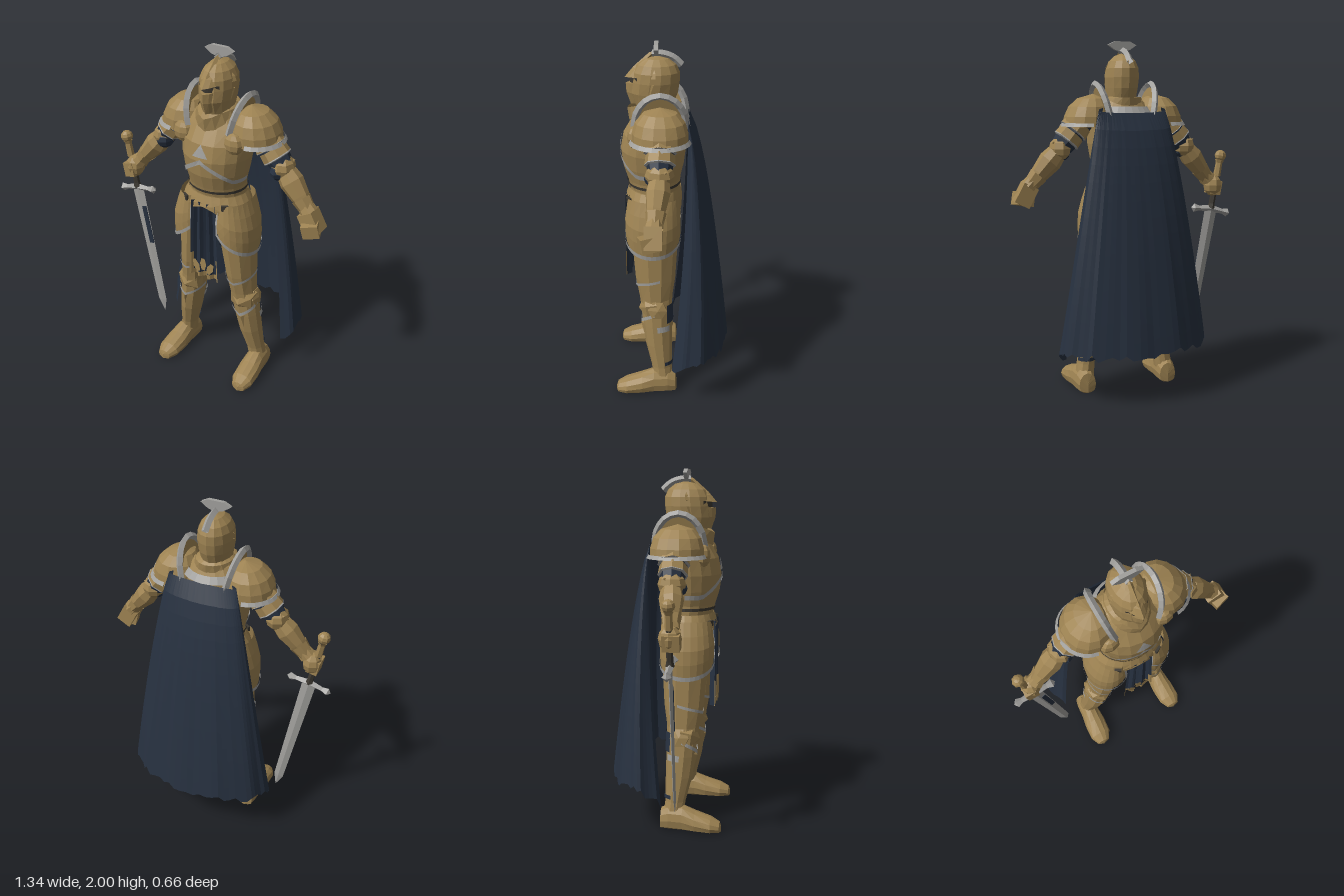
import * as THREE from 'three';

const mat = (name, color) => Object.assign(
  new THREE.MeshStandardMaterial({ color, flatShading: true, side: THREE.DoubleSide }), { name });
const gold = mat('gold plate', 0x9f8453), silver = mat('steel trim', 0xa09f9c);
const navy = mat('navy cloth', 0x273140), dark = mat('dark leather', 0x3c3831);
const V = (x, y, z) => new THREE.Vector3(x, y, z);
const rad = THREE.MathUtils.degToRad, TAU = Math.PI * 2;

export function createModel() {
  const model = new THREE.Group();
  model.name = 'armouredKnight';
  const group = (name, parent, x, y, z) => {
    const g = new THREE.Group();
    g.name = name;
    g.position.set(x, y, z);
    parent.add(g);
    return g;
  };
  const body = group('body', model, 0.035, 0, 0);
  const add = (name, geo, material, pos = [0, 0, 0], rot = [0, 0, 0], parent = body) => {
    const m = new THREE.Mesh(geo.index ? geo.toNonIndexed() : geo, material);
    m.geometry.computeVertexNormals();
    m.name = name;
    m.position.set(...pos);
    m.rotation.set(...rot);
    parent.add(m);
    return m;
  };
  // Surface from f(u, v): u runs to the right and v upwards, seen from outside
  const grid = (f, nu, nv) => {
    const pos = [], idx = [];
    for (let j = 0; j <= nv; j++) for (let i = 0; i <= nu; i++) pos.push(...f(i / nu, j / nv).toArray());
    for (let j = 0; j < nv; j++) for (let i = 0; i < nu; i++) {
      const a = j * (nu + 1) + i, d = a + nu + 1;
      idx.push(a, a + 1, d + 1, a, d + 1, d);
    }
    const g = new THREE.BufferGeometry();
    g.setAttribute('position', new THREE.Float32BufferAttribute(pos, 3));
    return g.setIndex(idx);
  };
  // Horizontal elliptical rings [y, cx, cz, rx, rz], listed upwards
  const onRing = ([y, cx, cz, rx, rz], a, o = 0) => V(cx + (rx + o) * Math.sin(a), y, cz + (rz + o) * Math.cos(a));
  const loft = (rings, n = 14) =>
    grid((u, v) => onRing(rings[Math.round(v * (rings.length - 1))], u * TAU), n, rings.length - 1);
  const at = (rings, a, y, o) => {
    let i = 0;
    while (i < rings.length - 2 && rings[i + 1][0] < y) i++;
    const t = (y - rings[i][0]) / (rings[i + 1][0] - rings[i][0]);
    return onRing(rings[i].map((k, n) => k + (rings[i + 1][n] - k) * t), a, o);
  };
  // Thin band lying on lofted rings, its height given by angle
  const band = (rings, a0, a1, yOf, w, o = 0.006, n = 20) => grid((u, v) => {
    const a = a0 + (a1 - a0) * u;
    return at(rings, a, yOf(a) + (v - 0.5) * w, o);
  }, n, 1);
  // Turned piece from a to b, profile of [radius, fraction of length]
  const limb = (name, material, a, b, profile, n = 8, parent = body) => {
    const dir = b.clone().sub(a), points = profile.map(([r, t]) => new THREE.Vector2(r, t * dir.length()));
    add(name, new THREE.LatheGeometry(points, n), material, a.toArray(), [0, 0, 0], parent)
      .quaternion.setFromUnitVectors(V(0, 1, 0), dir.normalize());
  };
  const ball = (name, material, p, r, parent = body) =>
    add(name, new THREE.SphereGeometry(1, 8, 6), material, p.toArray(), [0, 0, 0], parent).scale.set(...r);
  const box = (name, material, size, pos, rot, parent) => add(name, new THREE.BoxGeometry(...size), material, pos, rot, parent);

  // Torso, chest trim and skirt
  const torso = [[1.16, 0, 0.1, 0.175, 0.14], [1.21, 0, 0.1, 0.163, 0.138], [1.26, 0, 0.105, 0.162, 0.146],
    [1.34, 0, 0.108, 0.18, 0.168], [1.43, 0, 0.107, 0.196, 0.178], [1.52, 0, 0.1, 0.2, 0.168],
    [1.6, 0, 0.08, 0.185, 0.14], [1.67, 0, 0.08, 0.12, 0.105], [1.7, 0, 0.09, 0.07, 0.08]];
  add('breastplate', loft(torso, 18), gold);
  add('chestTrim', band(torso, -1.6, 1.6, a => 1.43 - 0.12 * Math.min(1, Math.abs(a)), 0.026), silver);
  add('waistTrim', band(torso, 0, TAU, () => 1.24, 0.016, 0.006, 24), dark);
  add('chestBadge', grid((u, v) => at(torso, (u - 0.5) * 0.46 * (1 - v), 1.455 + v * 0.07, 0.008), 4, 3), silver);
  const fauld = [[1.08, 0, 0.107, 0.212, 0.155], [1.15, 0, 0.107, 0.205, 0.158], [1.21, 0, 0.1, 0.17, 0.145]];
  add('fauld', grid((u, v) => {
    const a = u * TAU, lift = 0.07 * Math.max(0, Math.cos(a)) ** 8;
    return at(fauld, a, 1.08 + lift + v * (0.13 - lift), 0);
  }, 24, 3), gold);
  add('hips', loft([[0.86, 0, 0.1, 0, 0], [0.88, 0, 0.1, 0.13, 0.1], [1.0, 0, 0.1, 0.18, 0.125], [1.17, 0, 0.1, 0.17, 0.13]]), navy);
  // Gorget flaring to a pointed front
  add('gorget', grid((u, v) => {
    const a = u * TAU, tip = Math.max(0, Math.cos(a)) ** 6;
    return V((0.135 - 0.03 * v) * Math.sin(a), 1.62 + 0.07 * v - 0.035 * tip, 0.09 + (0.125 + 0.01 * v + 0.02 * tip) * Math.cos(a));
  }, 16, 1), gold);

  // Helmet
  add('helmet', loft([[1.67, 0, 0.1, 0.08, 0.1], [1.74, 0, 0.1, 0.09, 0.127], [1.8, 0, 0.092, 0.096, 0.128],
    [1.85, 0, 0.088, 0.091, 0.124], [1.89, 0, 0.086, 0.073, 0.104], [1.92, 0, 0.085, 0.04, 0.065], [1.935, 0, 0.08, 0, 0]]), gold);
  // Wedge plates bend around the face: rows of [y, half width, ridge z, side z]
  const wedge = rows => grid((u, v) => {
    const [y, hw, zf, zs, drop = 0] = rows[Math.round(v * (rows.length - 1))], k = Math.abs(2 * u - 1);
    return V(hw * (2 * u - 1), y + drop * k, zf + (zs - zf) * k ** 1.4);
  }, 8, rows.length - 1);
  add('visor', wedge([[1.675, 0.06, 0.225, 0.14, 0.02], [1.74, 0.09, 0.247, 0.12], [1.79, 0.1, 0.25, 0.1, 0.01], [1.79, 0.09, 0.2, 0.09, 0.01]]), gold);
  add('eyeSlit', wedge([[1.795, 0.06, 0.228, 0.186], [1.828, 0.06, 0.228, 0.186]]), dark);
  add('brow', wedge([[1.822, 0.09, 0.21, 0.1, 0.01], [1.82, 0.102, 0.255, 0.09, 0.014], [1.86, 0.092, 0.222, 0.09], [1.895, 0.06, 0.17, 0.1]]), gold);
  limb('browRidge', gold, V(0, 1.825, 0.24), V(0, 1.955, 0.1), [[0.006, 0], [0.016, 0.3], [0.013, 0.9], [0, 1]], 4);
  const ridge = new THREE.CatmullRomCurve3([V(0, 1.945, 0.11), V(0, 1.945, 0.06), V(0, 1.925, 0), V(0, 1.885, -0.045)]);
  add('crestRidge', new THREE.TubeGeometry(ridge, 8, 0.02, 4), silver);
  const wing = new THREE.Shape([[-0.085, 1.98], [-0.045, 1.953], [0, 1.94], [0.045, 1.953], [0.085, 1.98], [0.045, 2], [-0.045, 2]]
    .map(p => new THREE.Vector2(...p)));
  add('crestWings', new THREE.ExtrudeGeometry(wing, { depth: 0.022, bevelEnabled: false }), silver, [0, 0, 0.076]);

  for (const s of [-1, 1]) {
    const side = s < 0 ? 'right' : 'left', P = (x, y, z) => V(s * x, y, z);
    // Shoulder, with a flared rim and a leaning guard beside the neck
    const pauldron = [[1.53, s * 0.215, 0.065, 0.138, 0.146], [1.585, s * 0.21, 0.065, 0.134, 0.146], [1.64, s * 0.205, 0.065, 0.113, 0.13],
      [1.685, s * 0.195, 0.065, 0.073, 0.09], [1.71, s * 0.18, 0.065, 0, 0]];
    add(side + 'Pauldron', loft(pauldron), gold);
    add(side + 'PauldronRim', grid((u, v) => at(pauldron, s * rad(5 + 170 * u), 1.532 + 0.02 * v, 0.018 - 0.012 * v), 12, 1), silver);
    const arch = (t, r) => P(0.125 + 0.04 * r * Math.sin(t), 1.58 + 0.185 * r * Math.sin(t), 0.065 + 0.14 * r * Math.cos(t));
    const rim = new THREE.CatmullRomCurve3([0, 1, 2, 3, 4, 5, 6].map(i => arch(i * Math.PI / 6, 1)));
    add(side + 'NeckGuardRim', new THREE.TubeGeometry(rim, 12, 0.019, 4), silver);
    add(side + 'NeckGuard', grid((u, v) => arch(u * Math.PI, v), 10, 1), gold);
    ball(side + 'ArmpitDisc', gold, P(0.155, 1.54, 0.205), [0.057, 0.06, 0.035]);
    // Arm
    const sh = P(0.235, 1.58, 0.06), el = P(0.375, 1.41, 0.065), wr = P(0.55, 1.2, 0.09);
    limb(side + 'Sleeve', navy, sh, el, [[0.07, 0], [0.074, 0.6], [0.06, 1]]);
    const along = t => sh.clone().lerp(el, t);
    for (const [i, t] of [0.2, 0.5].entries()) {
      limb(side + 'ArmLame' + i, gold, along(t), along(t + 0.26), [[0.076, 0], [0.086 - i * 0.006, 0.9], [0.06, 1]]);
      limb(side + 'ArmLameTrim' + i, silver, along(t + 0.22), along(t + 0.27), [[0.08, 0], [0.088 - i * 0.006, 0.5], [0.07, 1]]);
    }
    ball(side + 'Elbow', gold, el, [0.064, 0.066, 0.076]);
    ball(side + 'ElbowCloth', navy, P(0.36, 1.39, 0.08), [0.046, 0.05, 0.066]);
    limb(side + 'ElbowSpike', gold, el, P(0.425, 1.45, 0.03), [[0.055, 0], [0, 1]], 5);
    limb(side + 'Vambrace', gold, P(0.385, 1.395, 0.065), wr, [[0, 0], [0.056, 0.06], [0.066, 0.28], [0.052, 0.62], [0.042, 0.8], [0.05, 1]]);
    limb(side + 'GauntletCuff', gold, P(0.495, 1.265, 0.082), P(0.565, 1.18, 0.09), [[0.055, 0], [0.042, 0.7], [0, 1]], 7);
    if (s > 0) {
      box('leftFist', gold, [0.09, 0.12, 0.09], [0.57, 1.155, 0.095], [0, 0, 0.5]);
      box('leftFingers', gold, [0.09, 0.075, 0.1], [0.578, 1.13, 0.115], [0.1, 0.3, 0.2]);
    } else {
      ball('rightFist', gold, V(-0.582, 1.165, 0.09), [0.056, 0.068, 0.062]);
      box('rightFingers', gold, [0.065, 0.085, 0.09], [-0.595, 1.15, 0.1], [0, 0, 0.18]);
    }
    // Tasset curving round the thigh, with a steel hem
    const tasset = [[0.84, s * 0.138, 0.11, 0.112, 0.138], [0.96, s * 0.133, 0.11, 0.126, 0.152], [1.05, s * 0.13, 0.11, 0.122, 0.155], [1.18, s * 0.12, 0.105, 0.086, 0.14]];
    const hem = a => 0.87 + 0.13 * ((s * a - Math.PI / 2) / 2) ** 2;
    const a0 = s * rad(-28), a1 = s * rad(180);
    add(side + 'Tasset', grid((u, v) => {
      const a = a0 + (a1 - a0) * u, y = hem(a);
      return at(tasset, a, y + (1.18 - y) * v, 0);
    }, 14, 4), gold);
    add(side + 'TassetTrim', band(tasset, a0, a1, hem, 0.024), silver);
    add(side + 'TassetEdge', grid((u, v) => at(tasset, a0 + s * 0.15 * u, 0.98 + 0.15 * v, 0.006), 1, 4), silver);
    box(side + 'Buckle', dark, [0.04, 0.03, 0.014], [s * 0.125, 1.165, 0.24], [0, s * 0.5, 0]);
    // Leg
    const leg = [[0.08, s * 0.25, 0.055, 0.055, 0.058], [0.16, s * 0.238, 0.064, 0.052, 0.058], [0.3, s * 0.212, 0.08, 0.066, 0.077],
      [0.42, s * 0.193, 0.088, 0.074, 0.084], [0.5, s * 0.18, 0.092, 0.078, 0.086], [0.58, s * 0.168, 0.096, 0.074, 0.092],
      [0.7, s * 0.155, 0.098, 0.083, 0.112], [0.95, s * 0.13, 0.1, 0.1, 0.13]];
    add(side + 'Leg', loft(leg, 10), gold);
    add(side + 'AnkleStrap', band(leg, rad(110), rad(250), () => 0.19, 0.022, 0.006, 8), navy);
    add(side + 'KneeBack', band(leg, rad(130), rad(230), () => 0.5, 0.11, 0.006, 8), navy);
    for (const k of [-1, 1]) add(side + 'CalfTrim', band(leg, k * rad(90), k * rad(140), () => 0.415, 0.035, 0.007, 5), silver);
    add(side + 'ShinTrim', band(leg, -1.5, 1.5, a => 0.435 + 0.05 * Math.abs(a), 0.02, 0.008), silver);
    add(side + 'ThighTrim', band(leg, -1.8, 1.8, a => 0.66 + 0.03 * Math.abs(a), 0.016), silver);
    limb(side + 'KneeCop', gold, P(0.18, 0.53, 0.09), P(0.185, 0.515, 0.195), [[0.085, 0], [0.075, 0.6], [0, 1]], 6);
    limb(side + 'KneeFan', gold, P(0.2, 0.52, 0.09), P(0.265, 0.535, 0.085), [[0.06, 0], [0.055, 0.8], [0, 1]], 6);
    limb(side + 'ShinRidge', gold, P(0.23, 0.2, 0.105), P(0.19, 0.47, 0.155), [[0, 0], [0.025, 0.3], [0.035, 0.85], [0, 1]], 4);
    // Armoured shoe: [z, half width, height], toe to heel
    const shoe = [[0.33, 0, 0.03], [0.32, 0.04, 0.055], [0.27, 0.066, 0.08], [0.18, 0.068, 0.11], [0.11, 0.06, 0.14],
      [0.03, 0.058, 0.14], [-0.015, 0.05, 0.115], [-0.024, 0, 0.05]];
    add(side + 'Shoe', grid((u, v) => {
      const [z, w, h] = shoe[Math.round(v * 7)], a = u * TAU;
      return V(s * (0.252 + z * 0.05) + w * Math.sin(a), Math.max(0, h * (0.4 + 0.6 * Math.cos(a))), z);
    }, 12, 7), gold);
  }

  // Loincloth with gilded hem and borders
  const cloth = (u, v, o = 0) => V((u - 0.5) * (0.19 - 0.04 * v), 0.68 + 0.49 * v, 0.247 + o + 0.016 * Math.cos(u * 19));
  add('loincloth', grid((u, v) => cloth(u, v), 14, 3), navy);
  add('loinclothHem', grid((u, v) => cloth(u, v * 0.06, 0.005), 14, 1), gold);
  for (const u0 of [0, 0.91]) add('loinclothBorder', grid((u, v) => cloth(u0 + u * 0.09, v * 0.3, 0.005), 2, 2), gold);
  for (const [i, x] of [-0.045, 0, 0.045].entries())
    add('hemLeaf' + i, new THREE.CircleGeometry(0.03, 6), gold, [x, x ? 0.755 : 0.775, 0.268], [0, 0, -x * 9]).scale.set(0.7, 1.5, 1);
  // Cape: widening curve with soft folds and a ragged hem
  const rough = i => { const k = Math.sin(i * 12.99) * 43758.5; return k - Math.floor(k); };
  add('cape', grid((u, v) => {
    const k = 2 * u - 1, a = k * rad(120), s = 1 - v;
    const hem = 0.265 + 0.045 * rough(Math.round(u * 44)) - 0.1 * Math.max(0, Math.abs(k) - 0.75) * 4;
    const top = 1.635 - 0.03 * (1 - k * k), back = -0.085 - 0.24 * s ** 0.6, edge = -0.08 + 0.085 * s * s;
    const D = (edge - back) / 1.5, fold = 1 + 0.018 * s * Math.sin(a * 11);
    return V((0.195 + 0.242 * s ** 0.85) * fold * Math.sin(a), top - s * (top - hem), back + D - D * fold * Math.cos(a));
  }, 44, 14), navy);
  add('capeCollar', grid((u, v) => {
    const a = Math.PI + (u - 0.5) * 2.6;
    return V((0.17 - 0.03 * v) * Math.sin(a), 1.605 + 0.035 * v, 0.06 + (0.15 - 0.025 * v) * Math.cos(a));
  }, 10, 1), silver);
  // Sword, built hanging down from its guard
  const sword = group('sword', body, -0.575, 1.02, 0.09);
  sword.rotation.z = 0.182;
  const blade = group('blade', sword, 0, 0, 0);
  blade.scale.z = 0.28;
  limb('bladeBody', silver, V(0, -0.88, 0), V(0, 0, 0), [[0, 0], [0.029, 0.1], [0.04, 1]], 4, blade);
  box('bladeInlay', navy, [0.026, 0.25, 0.006], [0.021, -0.25, 0.007], [0, 0.27, 0], sword);
  for (const s of [-1, 1]) limb('crossguard', silver, V(0, 0, 0), V(s * 0.132, -0.012, 0), [[0.022, 0], [0.015, 0.6], [0.026, 0.85], [0, 1]], 4, sword);
  limb('grip', dark, V(0, 0, 0), V(0, 0.31, 0), [[0.024, 0], [0.018, 0.1], [0.018, 1]], 6, sword);
  limb('gripSleeve', gold, V(0, 0.2, 0), V(0, 0.3, 0), [[0.022, 0], [0.02, 0.8], [0.028, 1]], 6, sword);
  ball('pommel', gold, V(0, 0.325, 0), [0.036, 0.034, 0.036], sword);
  return model;
}
